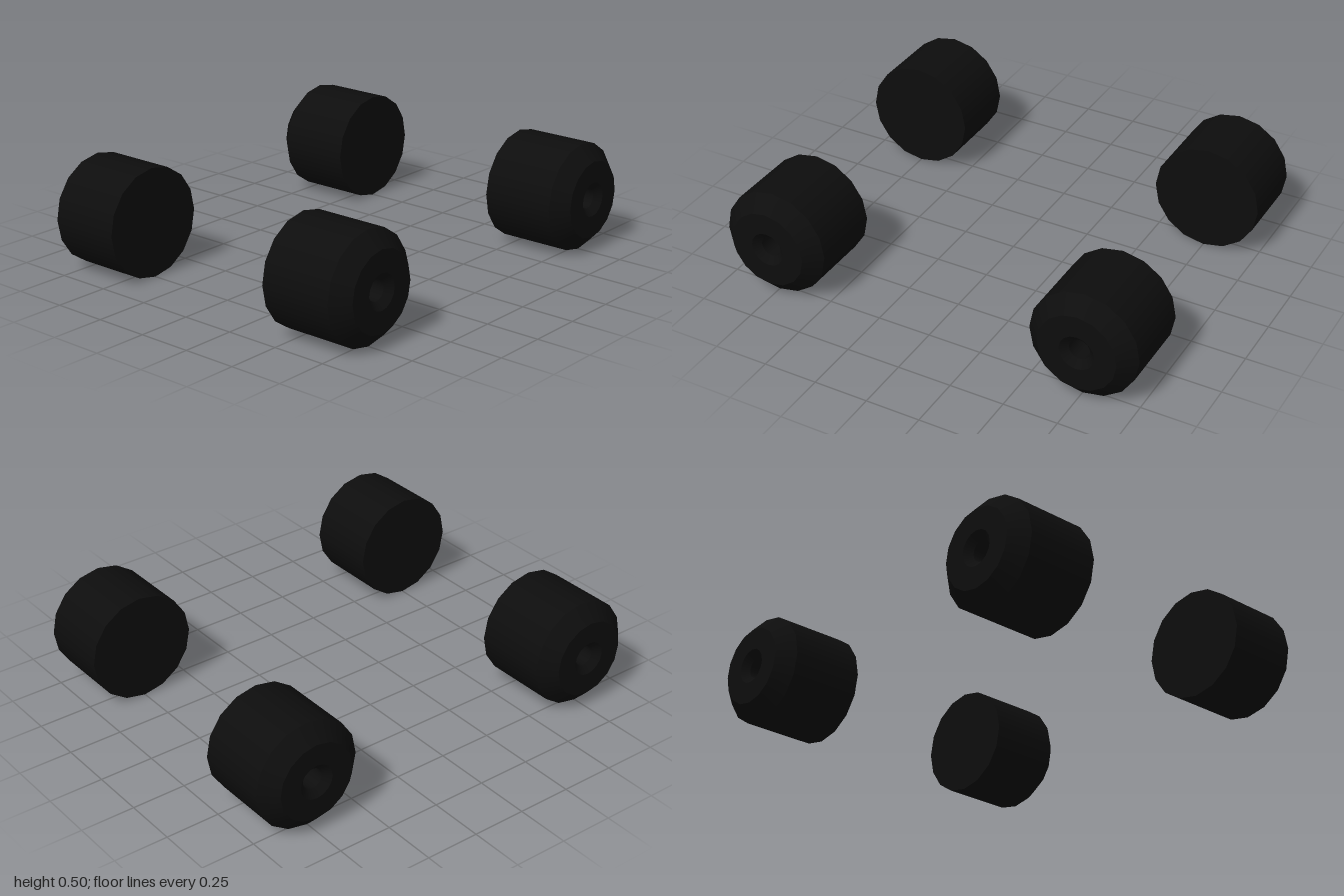
import * as THREE from 'three';

const SIDES = 16;
const rubber = new THREE.MeshStandardMaterial({ color: 0x0d0d0d });
rubber.name = 'black rubber';
const metal = new THREE.MeshStandardMaterial({ color: 0x9c9c9c });
metal.name = 'grey hub';

// One turned band between two [radius, distance along the axle] points, axle along +x
function band(name, from, to, material) {
  const points = [new THREE.Vector2(...from), new THREE.Vector2(...to)];
  const mesh = new THREE.Mesh(new THREE.LatheGeometry(points, SIDES).rotateZ(-Math.PI / 2), material);
  mesh.name = name;
  return mesh;
}

// Wheel with its outer face towards +x; separate bands keep the edges sharp
function createWheel() {
  const wheel = new THREE.Group();
  const profile = [
    ['innerFace', [0, -0.205], [0.25, -0.205]],
    ['tread', [0.25, -0.205], [0.25, 0.137]],
    ['chamfer', [0.25, 0.137], [0.18, 0.205]],
    ['outerFace', [0.18, 0.205], [0.08, 0.205]],
    ['dish', [0.08, 0.205], [0.048, 0.175]],
    ['axleHole', [0.048, 0.175], [0.048, 0.06]],
  ];
  for (const [name, from, to] of profile) wheel.add(band(name, from, to, rubber));
  // Grey disc at the bottom of the hole
  wheel.add(band('hub', [0.048, 0.06], [0, 0.06], metal));
  return wheel;
}

export function createModel() {
  const model = new THREE.Group();
  model.name = 'wheelSet';
  for (const [end, z] of [['front', 0.75], ['rear', -0.75]]) {
    for (const [side, x] of [['Left', 0.64], ['Right', -0.64]]) {
      const wheel = createWheel();
      wheel.name = `${end}${side}Wheel`;
      wheel.position.set(x, 0.25, z);
      if (x < 0) wheel.rotation.y = Math.PI;
      model.add(wheel);
    }
  }
  return model;
}
